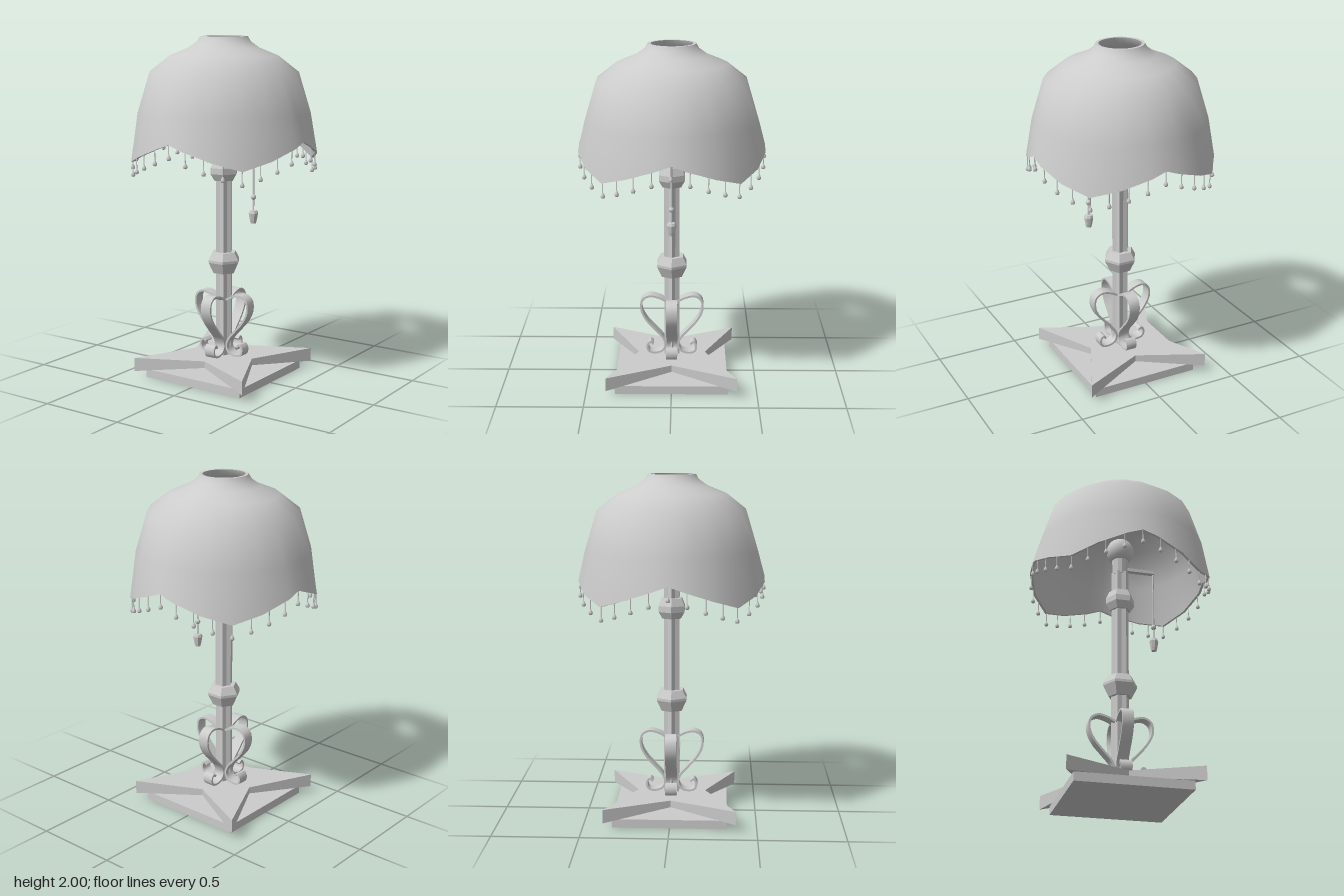
import * as THREE from 'three';
import { toCreasedNormals } from 'three/addons/utils/BufferGeometryUtils.js';

const smooth = new THREE.MeshStandardMaterial({ color: 0xcccccc });
const flat = new THREE.MeshStandardMaterial({ color: 0xcccccc, flatShading: true });
const rad = THREE.MathUtils.degToRad;
const pts = (list) => list.map(([x, y]) => new THREE.Vector2(x, y));

function add(parent, name, geometry, material = flat, x = 0, y = 0, z = 0) {
  const mesh = new THREE.Mesh(geometry, material);
  mesh.name = name;
  mesh.position.set(x, y, z);
  parent.add(mesh);
  return mesh;
}

// Scalloped hem: high on the four axes, low on the diagonals
function rimY(angle) {
  const s = Math.min(Math.abs(Math.sin(angle)), Math.abs(Math.cos(angle)));
  return 1.425 - 0.135 * s / Math.SQRT1_2;
}

// Thick twenty-sided shell with an extra column at each scallop peak
function shadeGeometry() {
  const profile = pts([
    [0.54, 0], [0.5, 1.57], [0.43, 1.8], [0.315, 1.89], [0.205, 1.935], [0.155, 1.97], [0.138, 2],
    [0.12, 2], [0.135, 1.96], [0.195, 1.92], [0.305, 1.87], [0.415, 1.785], [0.485, 1.56], [0.525, 0], [0.54, 0],
  ]);
  const steps = [0, 9, 27, 45, 63, 81];
  const geo = new THREE.LatheGeometry(profile, 24);
  const p = geo.attributes.position;
  for (let i = 0; i <= 24; i++) {
    const a = rad(Math.floor((i % 24) / 6) * 90 + steps[i % 6]);
    const k = i % 6 === 0 ? Math.cos(rad(9)) : 1;
    profile.forEach((q, j) => {
      const y = q.y === 0 ? rimY(a) : q.y;
      p.setXYZ(i * profile.length + j, q.x * k * Math.sin(a), y, q.x * k * Math.cos(a));
    });
  }
  return toCreasedNormals(geo, rad(40));
}

// Four-pointed slab whose underside lifts at the notches
function starSlabGeometry() {
  const c = 0.38, n = 0.2;
  const outline = pts([[c, c], [0, n], [-c, c], [-n, 0], [-c, -c], [0, -n], [c, -c], [n, 0]]);
  const geo = new THREE.ExtrudeGeometry(new THREE.Shape(outline), { depth: 0.08, bevelEnabled: false });
  geo.rotateX(-Math.PI / 2);
  const p = geo.attributes.position;
  for (let i = 0; i < p.count; i++) {
    const notch = Math.hypot(p.getX(i), p.getZ(i)) < 0.3;
    if (notch && p.getY(i) < 0.01) p.setY(i, 0.04);
  }
  return geo;
}

// Flat iron strap bent along a curve
function scrollGeometry() {
  const path = new THREE.CatmullRomCurve3([
    [0.035, 0.462], [0.08, 0.485], [0.135, 0.495], [0.175, 0.47], [0.183, 0.41], [0.155, 0.345],
    [0.095, 0.275], [0.052, 0.225], [0.038, 0.18], [0.055, 0.145], [0.1, 0.13], [0.138, 0.14],
    [0.147, 0.175], [0.13, 0.2], [0.112, 0.185],
  ].map(([x, y]) => new THREE.Vector3(x, y, 0)));
  const n = 48, half = 0.006, left = [], right = [];
  for (let i = 0; i <= n; i++) {
    const p = path.getPoint(i / n), t = path.getTangent(i / n);
    left.push(new THREE.Vector2(p.x - t.y * half, p.y + t.x * half));
    right.unshift(new THREE.Vector2(p.x + t.y * half, p.y - t.x * half));
  }
  const geo = new THREE.ExtrudeGeometry(new THREE.Shape([...left, ...right]), { depth: 0.066, bevelEnabled: false });
  geo.translate(0, 0, -0.033);
  return toCreasedNormals(geo, rad(35));
}

// Fluted column
function poleGeometry(y0, y1) {
  const outline = [];
  for (let i = 0; i < 12; i++) {
    const a = i * Math.PI / 6, r = i % 2 ? 0.04 : 0.052;
    outline.push(new THREE.Vector2(r * Math.cos(a), r * Math.sin(a)));
  }
  const geo = new THREE.ExtrudeGeometry(new THREE.Shape(outline), { depth: y1 - y0, bevelEnabled: false });
  return geo.rotateX(-Math.PI / 2).translate(0, y0, 0);
}

const hexKnob = (list) => new THREE.LatheGeometry(pts(list), 6, Math.PI / 2);

export function createModel() {
  const lamp = new THREE.Group();
  lamp.name = 'tableLamp';

  // Base
  add(lamp, 'basePlinth', new THREE.BoxGeometry(0.66, 0.05, 0.66), flat, 0, 0.025, 0);
  add(lamp, 'baseSlab', starSlabGeometry(), flat, 0, 0.042, 0);

  // Column and knobs
  add(lamp, 'pole', poleGeometry(0.12, 1.42));
  add(lamp, 'lowerKnob', hexKnob([[0, 0.62], [0.068, 0.62], [0.1, 0.685], [0.1, 0.7], [0.075, 0.745], [0, 0.745]]));
  add(lamp, 'upperKnob', hexKnob([[0, 1.17], [0.062, 1.17], [0.086, 1.21], [0.086, 1.245], [0.066, 1.29], [0, 1.29]]));

  // Four scrolls around the foot of the column
  const scroll = scrollGeometry();
  for (let i = 0; i < 4; i++) add(lamp, 'scroll', scroll, smooth).rotation.y = i * Math.PI / 2;

  // Socket and bulb
  add(lamp, 'socket', new THREE.CylinderGeometry(0.05, 0.045, 0.1, 12), flat, 0, 1.46, 0);
  add(lamp, 'bulb', new THREE.SphereGeometry(0.082, 24, 16), smooth, 0, 1.57, 0);

  // Pull chain
  const pull = new THREE.Group();
  pull.name = 'pullChain';
  lamp.add(pull);
  add(pull, 'pullArm', new THREE.BoxGeometry(0.18, 0.02, 0.03), flat, 0.12, 1.45, 0);
  add(pull, 'chain', new THREE.CylinderGeometry(0.005, 0.005, 0.45, 6), flat, 0.205, 1.225, 0);
  add(pull, 'bead', new THREE.SphereGeometry(0.016, 10, 8), smooth, 0.205, 1.088, 0);
  add(pull, 'handle', new THREE.LatheGeometry(pts(
    [[0, 0.935], [0.016, 0.935], [0.021, 0.955], [0.028, 0.995], [0.022, 1.01], [0, 1.012]]), 8), flat, 0.205, 0, 0);

  // Shade with hanging beads
  add(lamp, 'shade', shadeGeometry(), smooth);
  const thread = new THREE.CylinderGeometry(0.003, 0.003, 0.07, 5).translate(0, -0.03, 0);
  const drop = new THREE.LatheGeometry(pts(
    [[0, -0.087], [0.009, -0.085], [0.013, -0.076], [0.009, -0.066], [0.003, -0.054]]), 8);
  for (let i = 0; i < 32; i++) {
    const a = i * Math.PI / 16;
    const tassel = new THREE.Group();
    tassel.name = 'tassel';
    tassel.position.set(0.53 * Math.sin(a), rimY(a), 0.53 * Math.cos(a));
    add(tassel, 'thread', thread);
    add(tassel, 'drop', drop, smooth);
    lamp.add(tassel);
  }
  return lamp;
}
